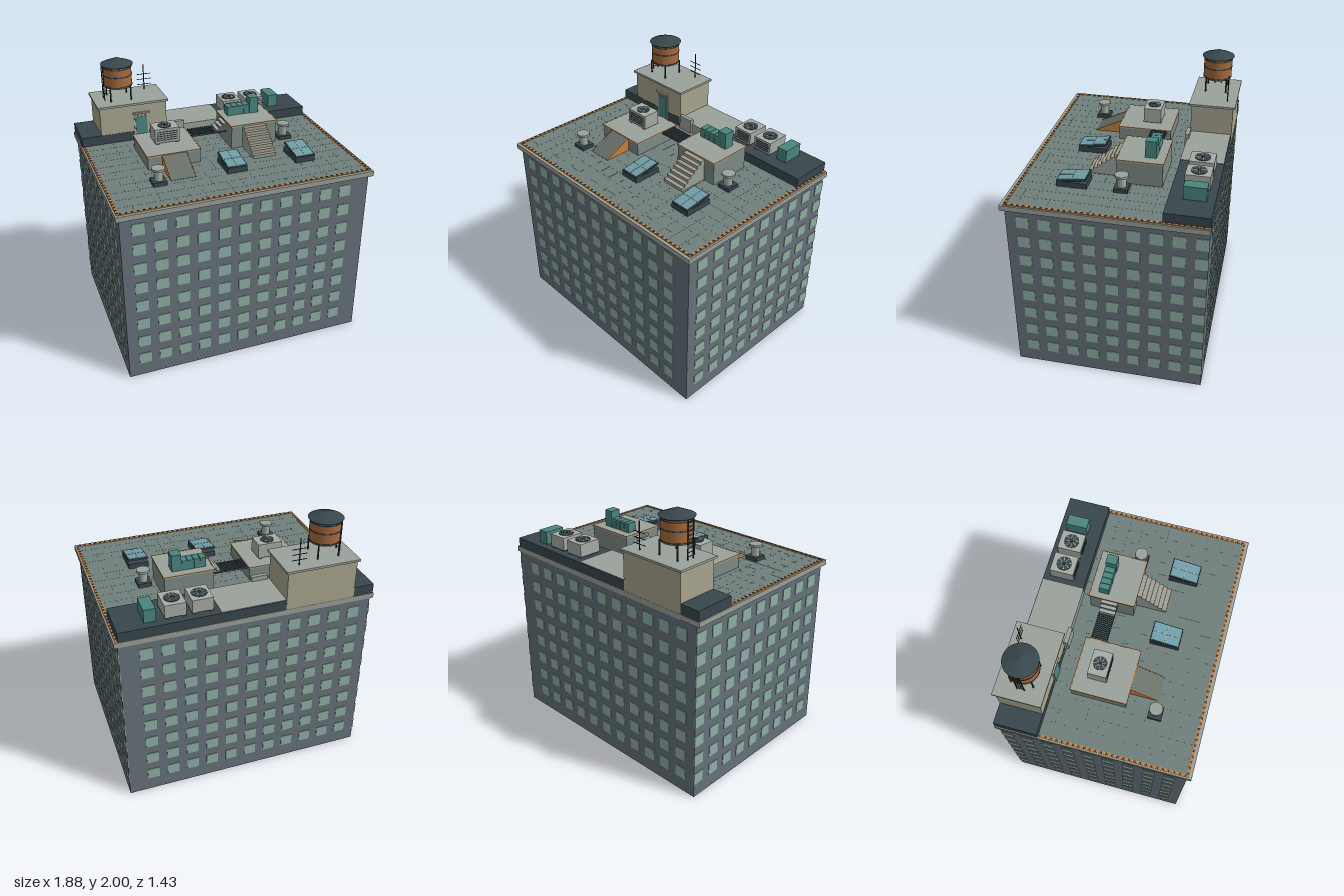
import * as THREE from 'three';
import { mergeGeometries } from 'three/addons/utils/BufferGeometryUtils.js';

const C = {
  wall: 0x66727a, window: 0x90b0a4, slab: 0x9ba098, roof: 0x70807c, dark: 0x38474d, orange: 0xc87f3c,
  plaster: 0xa8a58e, concrete: 0x9aa29b, hut: 0x7d8b86, teal: 0x4a857f, wood: 0xa86a3c,
  glass: 0x6f9ea8, ramp: 0x68706a, metal: 0xa6aca5, line: 0x64736f, black: 0x283238,
};
const materials = {};
const mat = (c) => (materials[c] ??= new THREE.MeshStandardMaterial({ color: C[c] }));

// box geometry from its limits
const B = (x0, x1, y0, y1, z0, z1) =>
  new THREE.BoxGeometry(x1 - x0, y1 - y0, z1 - z0).translate((x0 + x1) / 2, (y0 + y1) / 2, (z0 + z1) / 2);
// upright cylinder or cone from y0 to y1
const cyl = (rTop, rBottom, x, y0, y1, z, sides = 12) =>
  new THREE.CylinderGeometry(rTop, rBottom, y1 - y0, sides).translate(x, (y0 + y1) / 2, z);
// flat rectangular frame on top of a box
const rim = (x0, x1, z0, z1, y, w = 0.006, h = 0.004) => [
  B(x0, x1, y, y + h, z0, z0 + w), B(x0, x1, y, y + h, z1 - w, z1),
  B(x0, x0 + w, y, y + h, z0 + w, z1 - w), B(x1 - w, x1, y, y + h, z0 + w, z1 - w),
];

function add(parent, name, color, ...geometries) {
  const list = geometries.flat();
  const mesh = new THREE.Mesh(list.length > 1 ? mergeGeometries(list) : list[0], mat(color));
  mesh.name = name;
  parent.add(mesh);
  return mesh;
}
function part(parent, name) {
  const g = new THREE.Group();
  g.name = name;
  parent.add(g);
  return g;
}
const range = (n, f) => Array.from({ length: n }, (_, i) => f(i));

// cooling unit with a fan on top and louvres in front
function coolingUnit(parent, x0, x1, y0, y1, z0, z1) {
  const g = part(parent, 'coolingUnit');
  const cx = (x0 + x1) / 2, cz = (z0 + z1) / 2, r = Math.min(x1 - x0, z1 - z0) * 0.37;
  add(g, 'casing', 'metal', B(x0, x1, y0 + 0.008, y1, z0, z1));
  add(g, 'feet', 'dark', B(x0 + 0.01, x0 + 0.03, y0, y0 + 0.008, z0, z1), B(x1 - 0.03, x1 - 0.01, y0, y0 + 0.008, z0, z1));
  add(g, 'fanWell', 'dark', cyl(r, r, cx, y1, y1 + 0.004, cz, 20));
  add(g, 'fanBlades', 'metal', range(4, (i) =>
    new THREE.BoxGeometry(r * 1.9, 0.003, 0.005).rotateY((i * Math.PI) / 4 + 0.2).translate(cx, y1 + 0.005, cz)));
  add(g, 'fanHub', 'black', cyl(r * 0.25, r * 0.25, cx, y1, y1 + 0.009, cz));
  add(g, 'louvres', 'dark', range(5, (i) => {
    const y = y0 + (y1 - y0) * (0.22 + i * 0.14);
    return B(x0 + 0.015, x1 - 0.015, y, y + 0.006, z1, z1 + 0.003);
  }));
}

// mushroom vent
function vent(parent, x, z) {
  const g = part(parent, 'roofVent');
  add(g, 'ventBase', 'dark', B(x - 0.05, x + 0.05, 1.375, 1.405, z - 0.05, z + 0.05));
  add(g, 'ventPipe', 'metal', cyl(0.032, 0.032, x, 1.405, 1.48, z, 16));
  add(g, 'ventCap', 'concrete', cyl(0.048, 0.048, x, 1.478, 1.496, z, 20));
}

// sloped skylight with four panes
function skylight(parent, x0, x1, z0, z1) {
  const g = part(parent, 'skylight');
  add(g, 'curb', 'dark', B(x0, x1, 1.375, 1.415, z0, z1));
  const w = x1 - x0, d = z1 - z0;
  const lid = part(g, 'lid');
  add(lid, 'lidFrame', 'dark', B(-w / 2, w / 2, -0.008, 0.005, -d / 2, d / 2));
  add(lid, 'panes', 'glass', B(-w / 2 + 0.007, w / 2 - 0.007, 0, 0.008, -d / 2 + 0.007, d / 2 - 0.007));
  add(lid, 'glazingBars', 'metal', B(-0.002, 0.002, 0, 0.01, -d / 2, d / 2), B(-w / 2, w / 2, 0, 0.01, -0.002, 0.002));
  lid.position.set((x0 + x1) / 2, 1.433, (z0 + z1) / 2);
  lid.rotation.x = 0.14;
}

export function createModel() {
  const model = new THREE.Group();
  model.name = 'rooftopBuilding';

  // building block
  add(model, 'walls', 'wall', B(-0.915, 0.915, 0, 1.337, -0.695, 0.685));
  const panes = [];
  for (let row = 0; row < 8; row++) {
    const y = 0.15 + row * 0.156, h = 0.044;
    for (let i = 0; i < 11; i++) {
      const x = -0.79 + i * 0.152;
      panes.push(B(x - h, x + h, y - h, y + h, 0.68, 0.689), B(x - h, x + h, y - h, y + h, -0.699, -0.69));
    }
    for (let i = 0; i < 9; i++) {
      const z = 0.565 - i * 0.1522;
      for (const s of [-0.915, 0.915]) panes.push(B(s - 0.004, s + 0.004, y - h, y + h, z - h, z + h));
    }
  }
  add(model, 'windows', 'window', panes);

  // roof slab, paving and striped edge
  add(model, 'cornice', 'slab', B(-0.94, 0.94, 1.335, 1.374, -0.7, 0.712));
  add(model, 'roofPaving', 'roof', B(-0.908, 0.908, 1.37, 1.376, -0.69, 0.672));
  add(model, 'pavingJoints', 'line',
    range(17, (i) => B(-0.801 + i * 0.1, -0.799 + i * 0.1, 1.374, 1.3765, -0.38, 0.67)),
    range(10, (i) => B(-0.908, 0.908, 1.374, 1.3765, -0.301 + i * 0.1, -0.299 + i * 0.1)));
  add(model, 'edgeStrip', 'orange', B(-0.928, -0.908, 1.37, 1.379, -0.385, 0.69),
    B(0.908, 0.928, 1.37, 1.379, -0.7, 0.69), B(-0.908, 0.908, 1.37, 1.379, 0.672, 0.69));
  add(model, 'edgeStuds', 'dark',
    range(46, (i) => B(-0.907 + i * 0.04, -0.893 + i * 0.04, 1.373, 1.382, 0.674, 0.688)),
    range(27, (i) => B(-0.925, -0.911, 1.373, 1.382, -0.38 + i * 0.04, -0.366 + i * 0.04)),
    range(34, (i) => B(0.911, 0.925, 1.373, 1.382, -0.66 + i * 0.04, -0.646 + i * 0.04)));

  // raised back platform
  add(model, 'backPlatform', 'dark', B(-0.932, 0.912, 1.374, 1.448, -0.698, -0.385));
  add(model, 'platformDeck', 'concrete', B(-0.27, 0.2, 1.376, 1.452, -0.693, -0.382));
  add(model, 'platformStep', 'concrete', B(-0.25, -0.13, 1.376, 1.488, -0.395, -0.365));
  coolingUnit(model, 0.24, 0.39, 1.448, 1.552, -0.645, -0.47);
  coolingUnit(model, 0.43, 0.58, 1.448, 1.552, -0.645, -0.47);
  add(model, 'equipmentCabinet', 'teal', B(0.637, 0.72, 1.448, 1.546, -0.64, -0.483));

  // stair penthouse
  const house = part(model, 'penthouse');
  add(house, 'penthouseWalls', 'plaster', B(-0.78, -0.265, 1.375, 1.665, -0.7, -0.387));
  add(house, 'penthouseRoof', 'concrete', B(-0.795, -0.25, 1.664, 1.68, -0.715, -0.37));
  add(house, 'doorFrame', 'metal', B(-0.52, -0.41, 1.375, 1.575, -0.39, -0.382));
  add(house, 'door', 'teal', B(-0.51, -0.42, 1.375, 1.565, -0.386, -0.378));
  add(house, 'doorCanopy', 'plaster', B(-0.53, -0.4, 1.588, 1.6, -0.39, -0.372));

  // water tank on legs
  const tank = part(model, 'waterTank'), tx = -0.595, tz = -0.537;
  add(tank, 'tankBarrel', 'wood', cyl(0.107, 0.107, tx, 1.78, 1.952, tz, 28));
  add(tank, 'tankHoops', 'dark', [1.787, 1.865, 1.925].map((y) => cyl(0.11, 0.11, tx, y, y + 0.008, tz, 28)));
  add(tank, 'tankRoof', 'dark', cyl(0, 0.122, tx, 1.95, 2.0, tz, 28), cyl(0.122, 0.118, tx, 1.944, 1.95, tz, 28));
  const legs = [];
  for (const sx of [-1, 1]) for (const sz of [-1, 1])
    legs.push(cyl(0.006, 0.006, tx + sx * 0.078, 1.68, 1.785, tz + sz * 0.078, 8));
  add(tank, 'tankLegs', 'black', legs);
  add(tank, 'tankLadder', 'black', [-0.56, -0.51].map((z) => B(-0.713, -0.707, 1.68, 1.95, z - 0.003, z + 0.003)),
    range(9, (i) => B(-0.712, -0.708, 1.7 + i * 0.028, 1.704 + i * 0.028, -0.56, -0.51)));

  // aerial
  add(model, 'aerial', 'black', cyl(0.004, 0.004, -0.365, 1.68, 1.88, -0.645, 8),
    [1.72, 1.762, 1.803].map((y) => B(-0.42, -0.31, y - 0.002, y + 0.002, -0.647, -0.643)));

  // low hut with ramp
  const low = part(model, 'lowHut');
  add(low, 'lowHutWalls', 'hut', B(-0.565, -0.172, 1.375, 1.472, -0.248, 0.148));
  add(low, 'lowHutRoof', 'concrete', B(-0.57, -0.167, 1.47, 1.482, -0.253, 0.153));
  add(low, 'lowHutTrim', 'orange', rim(-0.572, -0.165, -0.255, 0.155, 1.479));
  coolingUnit(low, -0.46, -0.275, 1.482, 1.598, -0.155, -0.02);
  const wedge = (x0, x1, lift) => {
    const s = new THREE.Shape([[0.15, 1.375], [0.36, 1.375], [0.36, 1.378 + lift], [0.15, 1.478 + lift]].map((p) => new THREE.Vector2(-p[0], p[1])));
    return new THREE.ExtrudeGeometry(s, { depth: x1 - x0, bevelEnabled: false }).rotateY(Math.PI / 2).translate(x0, 0, 0);
  };
  add(low, 'ramp', 'ramp', wedge(-0.455, -0.28, 0));
  add(low, 'rampEdges', 'orange', wedge(-0.46, -0.455, 0.003), wedge(-0.28, -0.275, 0.003));

  // high hut with stairs and tanks
  const high = part(model, 'highHut');
  add(high, 'highHutWalls', 'hut', B(0.122, 0.483, 1.375, 1.547, -0.307, 0.018));
  add(high, 'highHutRoof', 'concrete', B(0.117, 0.488, 1.545, 1.557, -0.312, 0.023));
  add(high, 'highHutTrim', 'orange', rim(0.115, 0.49, -0.314, 0.025, 1.554));
  add(high, 'stairs', 'concrete', range(7, (i) => B(0.21, 0.39, 1.375, 1.4 + i * 0.0235, 0.018, 0.24 - i * 0.031)));
  add(high, 'stairNosings', 'orange', range(7, (i) => B(0.21, 0.39, 1.398 + i * 0.0235, 1.402 + i * 0.0235, 0.237 - i * 0.031, 0.242 - i * 0.031)));
  add(high, 'tealCabinets', 'teal', range(4, (i) => B(0.162 + i * 0.045, 0.203 + i * 0.045, 1.557, 1.628, -0.25, -0.175)),
    B(0.162, 0.35, 1.557, 1.622, -0.246, -0.179), B(0.342, 0.412, 1.557, 1.682, -0.25, -0.17));

  // grated bridge and steps between huts
  const bridge = part(model, 'bridge');
  add(bridge, 'bridgeSlats', 'dark', range(14, (i) => B(-0.166 + i * 0.015, -0.157 + i * 0.015, 1.472, 1.48, -0.22, -0.1)));
  add(bridge, 'bridgeBeams', 'dark', [-0.22, -0.106].map((z) => B(-0.17, 0.12, 1.462, 1.474, z, z + 0.006)));
  add(bridge, 'bridgeSteps', 'metal', range(3, (i) => B(0.045 + i * 0.026, 0.071 + i * 0.026, 1.478 + i * 0.022, 1.49 + i * 0.022, -0.22, -0.1)));

  vent(model, -0.55, 0.36);
  vent(model, 0.57, -0.04);
  skylight(model, -0.055, 0.095, 0.185, 0.4);
  skylight(model, 0.47, 0.62, 0.197, 0.412);
  return model;
}
